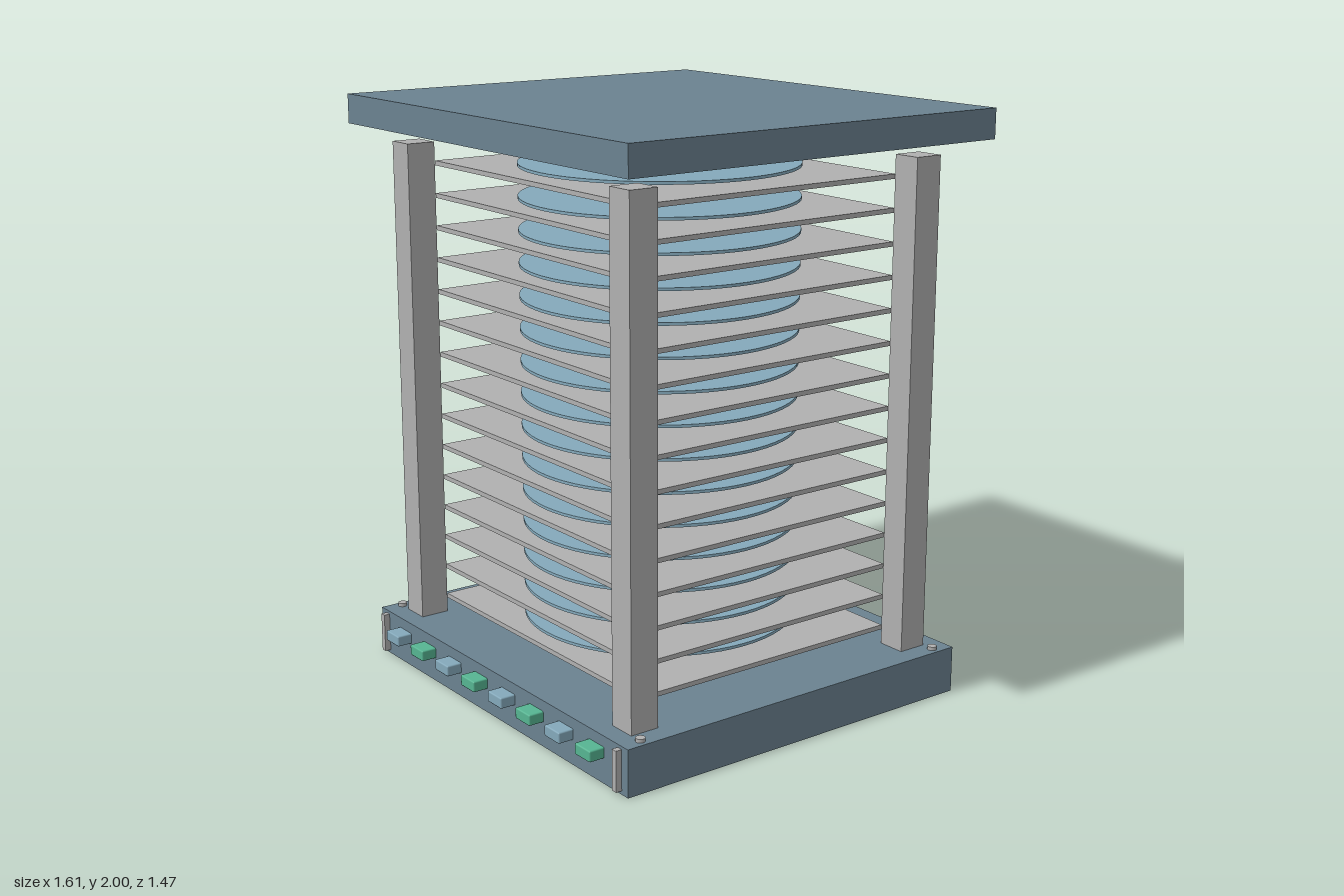
import * as THREE from 'three';
import { RoundedBoxGeometry } from 'three/addons/geometries/RoundedBoxGeometry.js';

export function createModel() {
  const group = new THREE.Group();
  group.name = 'discRack';

  const mat = (name, color) => {
    const m = new THREE.MeshStandardMaterial({ color });
    m.name = name;
    return m;
  };
  const slate = mat('slate', 0x6b8290);
  const grey = mat('grey', 0xb0b0b0);
  const blue = mat('paleBlue', 0x84a9bb);
  const green = mat('green', 0x56b592);

  const add = (name, geometry, material, x, y, z) => {
    const mesh = new THREE.Mesh(geometry, material);
    mesh.name = name;
    mesh.position.set(x, y, z);
    group.add(mesh);
  };
  const box = (w, h, d) => new THREE.BoxGeometry(w, h, d);

  const cx = -0.003, cz = -0.006; // centre of the rack body

  // Base and floating lid
  add('base', box(1.508, 0.16, 1.373), slate, cx, 0.08, cz);
  add('lid', box(1.614, 0.1, 1.446), slate, 0, 1.95, -0.012);

  // Corner posts and the small screws beside them
  const postGeo = box(0.1, 1.685, 0.103);
  const screwGeo = new THREE.CylinderGeometry(0.016, 0.016, 0.012, 16);
  for (const sx of [-1, 1]) {
    for (const sz of [-1, 1]) {
      add('post', postGeo, grey, cx + sx * 0.63, 1.0025, cz + sz * 0.568);
      add('screw', screwGeo, grey, cx + sx * 0.725, 0.166, cz + sz * 0.618);
    }
    // Upright strip at each end of the front panel
    add('frontStrip', box(0.021, 0.137, 0.022), grey, cx + sx * 0.711, 0.081, 0.691);
  }

  // Stack of shelves, each with a thin disc hovering above it
  const shelfGeo = box(1.162, 0.016, 1.031);
  const discGeo = new THREE.CylinderGeometry(0.471, 0.471, 0.01, 64);
  for (let i = 0; i < 15; i++) {
    const y = 0.219 + i * 0.111;
    add('shelf', shelfGeo, grey, cx, y, cz);
    add('disc', discGeo, blue, cx, y + 0.025, cz);
  }

  // Row of alternating front buttons
  const buttonGeo = new RoundedBoxGeometry(0.083, 0.038, 0.06, 1, 0.005);
  for (let i = 0; i < 8; i++) {
    add('button', buttonGeo, i % 2 ? green : blue, cx + (i - 3.5) * 0.168, 0.104, 0.705);
  }

  return group;
}
